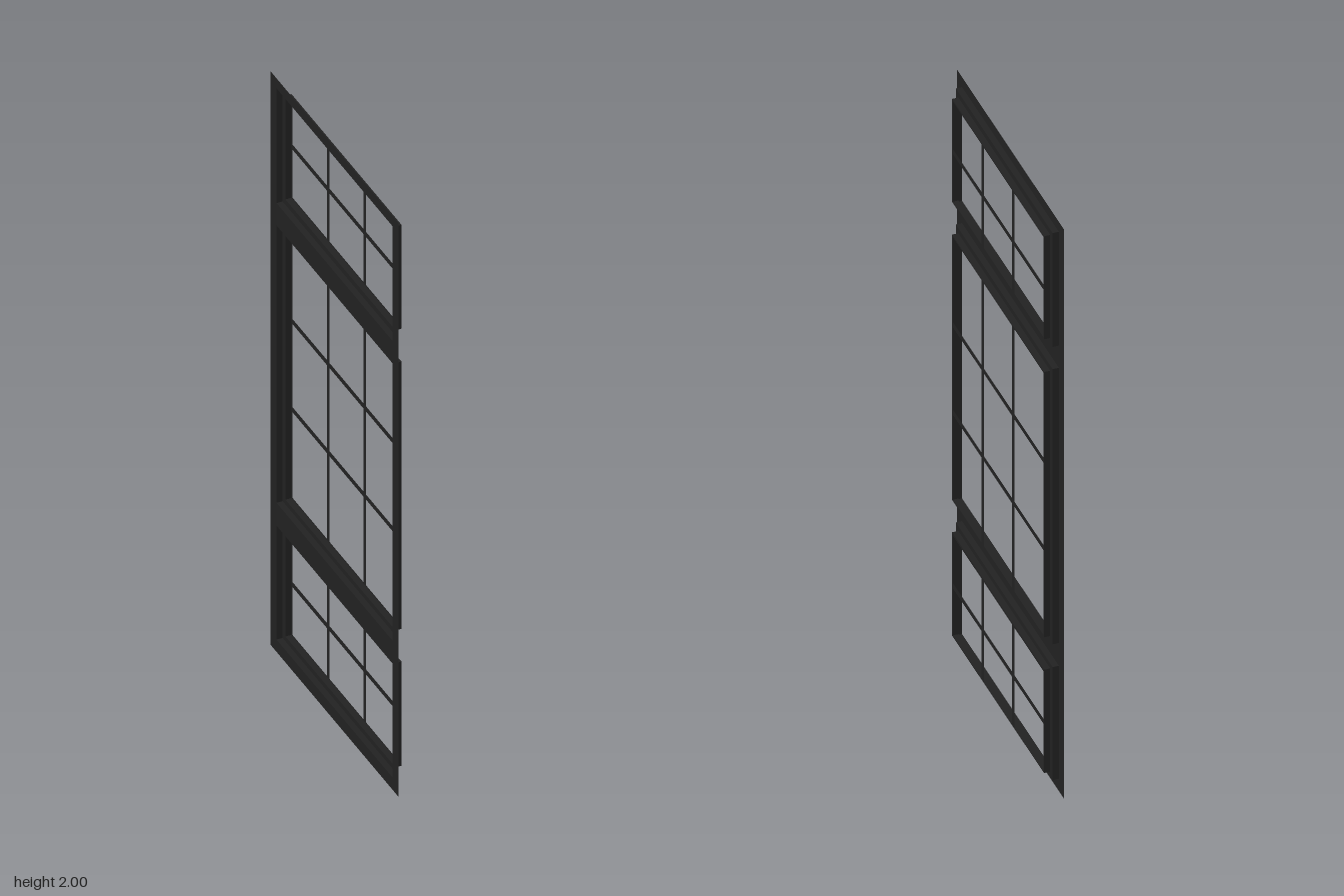
import * as THREE from 'three';

const BACK = -0.019, MID = 0, FRONT = 0.019; // depths of the stepped sheet profile
const BAR = 0.018;                           // glazing bar width

// Rectangular cross-section: half width, bottom, top, depth
const rect = (h, y0, y1, x) =>
  [[-h, y0], [h, y0], [h, y1], [-h, y1]].map(([u, y]) => [x, y, -u]);

// Skin successive rectangular loops with flat quads
function loft(loops) {
  const pos = [];
  for (let k = 0; k < loops.length - 1; k++) {
    for (let i = 0; i < 4; i++) {
      const j = (i + 1) % 4, a = loops[k], b = loops[k + 1];
      pos.push(...a[i], ...a[j], ...b[j], ...a[i], ...b[j], ...b[i]);
    }
  }
  const geo = new THREE.BufferGeometry();
  geo.setAttribute('position', new THREE.Float32BufferAttribute(pos, 3));
  geo.computeVertexNormals();
  return geo;
}

export function createModel() {
  const model = new THREE.Group();
  model.name = 'window';
  const black = new THREE.MeshStandardMaterial({ color: 0x222222, side: THREE.DoubleSide });
  black.name = 'black metal';

  const add = (parent, name, geo) => {
    const mesh = new THREE.Mesh(geo, black);
    mesh.name = name;
    parent.add(mesh);
    return mesh;
  };

  // Each sash: outer step, inner step and glass opening as [bottom, top]; rows of panes
  const sashes = [
    { name: 'lowerSash', outer: [0.043, 0.44], inner: [0.06, 0.423], open: [0.064, 0.415], rows: 2 },
    { name: 'middleSash', outer: [0.52, 1.487], inner: [0.537, 1.469], open: [0.542, 1.464], rows: 3 },
    { name: 'upperSash', outer: [1.565, 1.965], inner: [1.584, 1.946], open: [1.589, 1.941], rows: 2 },
  ];

  // Outer frame sheet with one hole per sash
  const outline = new THREE.Shape(
    [[-0.42, 0], [0.42, 0], [0.42, 2], [-0.42, 2]].map(p => new THREE.Vector2(...p)));
  for (const { outer: [a, b] } of sashes) {
    outline.holes.push(new THREE.Path(
      [[-0.38, a], [-0.38, b], [0.38, b], [0.38, a]].map(p => new THREE.Vector2(...p))));
  }
  add(model, 'outerFrame',
    new THREE.ShapeGeometry(outline).rotateY(Math.PI / 2).translate(BACK, 0, 0));

  for (const { name, outer, inner, open, rows } of sashes) {
    const sash = new THREE.Group();
    sash.name = name;
    model.add(sash);

    // Two raised steps ending at the glass opening
    add(sash, 'sashMoulding', loft([
      rect(0.38, ...outer, BACK), rect(0.38, ...outer, MID),
      rect(0.361, ...inner, MID), rect(0.361, ...inner, FRONT),
      rect(0.355, ...open, FRONT),
    ]));

    // Flat glazing bars
    const height = open[1] - open[0];
    for (const z of [-0.12, 0.12]) {
      add(sash, 'verticalBar', new THREE.PlaneGeometry(BAR, height).rotateY(Math.PI / 2))
        .position.set(FRONT, (open[0] + open[1]) / 2, z);
    }
    for (let i = 1; i < rows; i++) {
      add(sash, 'horizontalBar', new THREE.PlaneGeometry(0.71, BAR).rotateY(Math.PI / 2))
        .position.set(FRONT, open[0] + height * i / rows, 0);
    }
  }
  return model;
}
